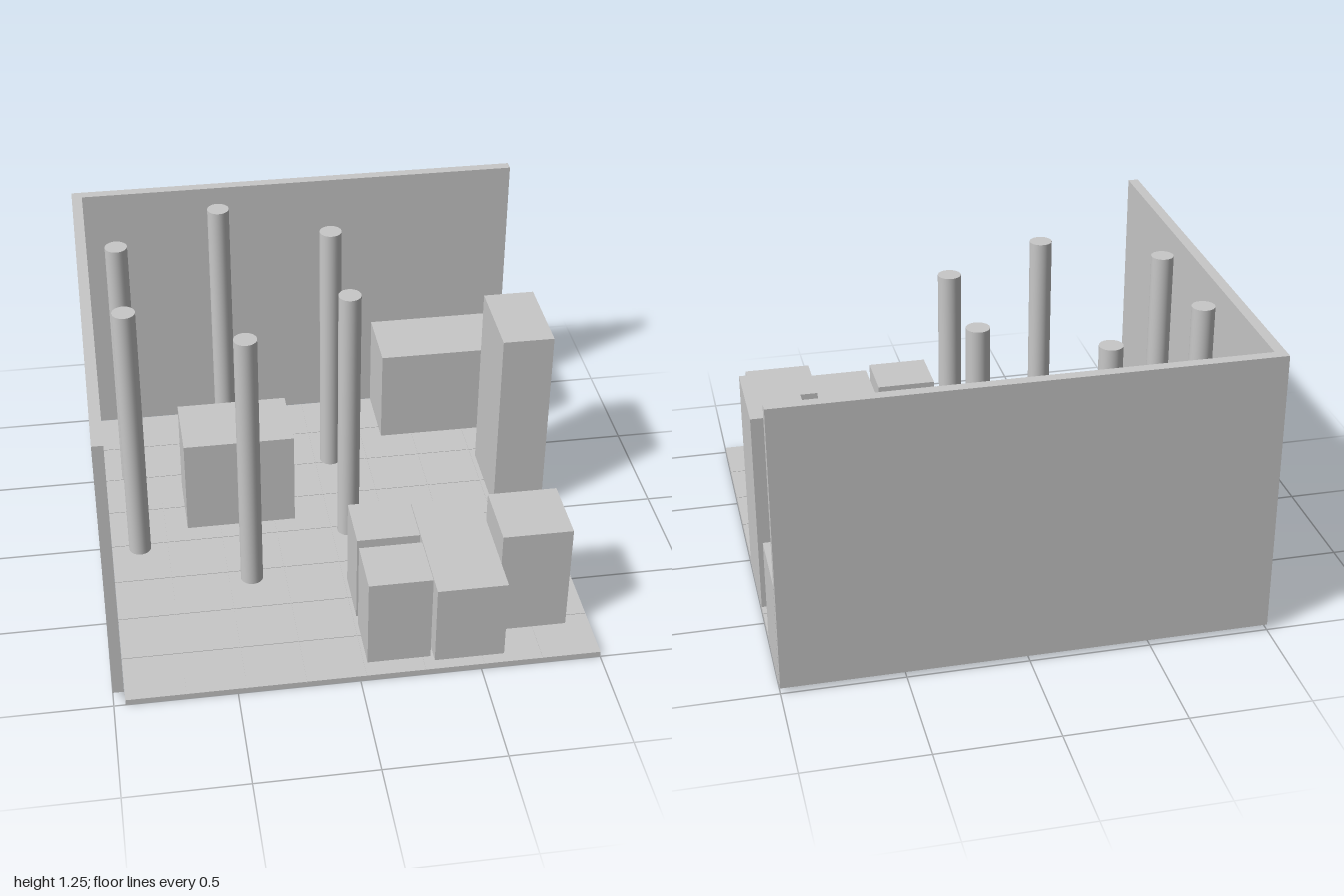
import * as THREE from 'three';

const FLOOR = 0.025, TOP = 1.245;

export function createModel() {
  const model = new THREE.Group();
  model.name = 'room';
  const grey = new THREE.MeshStandardMaterial({ color: 0xc8c8c8 });
  grey.name = 'plain grey';

  const add = (name, geometry, x, y, z, parent = model) => {
    const mesh = new THREE.Mesh(geometry, grey);
    mesh.name = name;
    mesh.position.set(x, y, z);
    parent.add(mesh);
    return mesh;
  };
  // Box given by its limits on each axis
  const block = (name, x0, x1, y0, y1, z0, z1, parent) =>
    add(name, new THREE.BoxGeometry(x1 - x0, y1 - y0, z1 - z0),
      (x0 + x1) / 2, (y0 + y1) / 2, (z0 + z1) / 2, parent);
  const cylinder = (name, x, z, radius, top) =>
    add(name, new THREE.CylinderGeometry(radius, radius, top - FLOOR, 32),
      x, (top + FLOOR) / 2, z);

  // Floor slab with a grid of tiles separated by hairline joints
  const floor = new THREE.Group();
  floor.name = 'floor';
  model.add(floor);
  block('floorSlab', -0.953, 1, 0, FLOOR - 0.003, -0.953, 1, floor);
  const count = 8, pitch = 1.953 / count, joint = 0.0015;
  for (let i = 0; i < count; i++) {
    for (let j = 0; j < count; j++) {
      const x = -0.953 + i * pitch, z = -0.953 + j * pitch;
      block('floorTile',
        x + (i ? joint : 0), x + pitch - (i < count - 1 ? joint : 0),
        FLOOR - 0.003, FLOOR,
        z + (j ? joint : 0), z + pitch - (j < count - 1 ? joint : 0), floor);
    }
  }

  // Two walls meeting at the back corner
  block('backWall', -1, 1, FLOOR, TOP, -1, -0.955);
  block('sideWall', -1, -0.955, FLOOR, TOP, -0.955, 0.95);

  // Six columns in a ring
  for (const [x, z] of [[-0.365, -0.76], [-0.83, -0.49], [0.098, -0.49],
    [-0.83, 0.045], [0.098, 0.045], [-0.365, 0.315]]) {
    cylinder('column', x, z, 0.048, TOP);
  }

  // Furniture standing on the floor
  cylinder('bin', 0.895, -0.53, 0.07, 0.175);
  block('centreTable', -0.61, -0.127, FLOOR, 0.468, -0.38, -0.063);
  block('cornerCounter', 0.365, 1, FLOOR, 0.468, -0.953, -0.635);
  block('tallCabinet', 0.777, 1, FLOOR, 0.905, -0.415, -0.023);
  block('desk', 0.315, 0.605, FLOOR, 0.39, 0.365, 0.95);
  block('deskChair', 0.608, 0.9, FLOOR, 0.517, 0.515, 0.805);
  for (const z of [0.39, 0.68]) {
    block('visitorChair', 0.04, 0.302, FLOOR, 0.43, z, z + 0.243);
  }

  return model;
}
